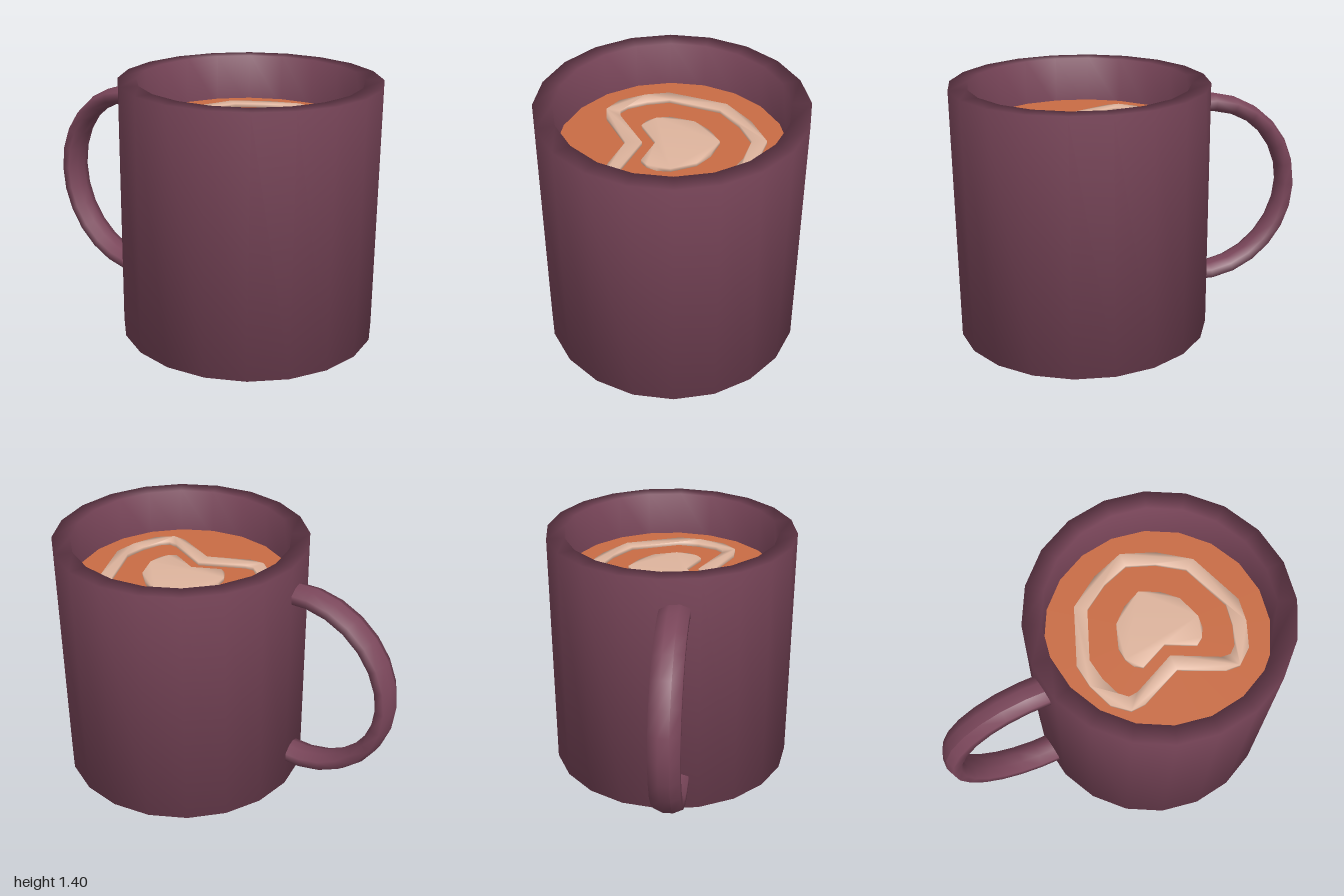
import * as THREE from 'three';
import { mergeVertices } from 'three/addons/utils/BufferGeometryUtils.js';

const CZ = 0.3; // the cup's axis sits forward to leave room for the handle
const V = (x, y) => new THREE.Vector2(x, y);

// Mirror half a heart, given from tip to notch as (x, z offset), into a closed outline
function heart(half) {
  const back = half.slice(1, -1).reverse().map(([x, z]) => [x, -z]);
  return [...half, ...back].map(([x, z]) => V(x, z));
}

// Thin slab lying on the drink, with soft shared normals
function slab(outline, hole) {
  const shape = new THREE.Shape(outline);
  if (hole) shape.holes.push(new THREE.Path(hole));
  let g = new THREE.ExtrudeGeometry(shape, { depth: 0.03, bevelEnabled: false });
  g.deleteAttribute('uv');
  g.deleteAttribute('normal');
  g = mergeVertices(g);
  g.computeVertexNormals();
  g.rotateX(-Math.PI / 2);
  g.translate(0, 1.14, CZ);
  return g;
}

export function createModel() {
  const group = new THREE.Group();
  const material = (name, color) => {
    const m = new THREE.MeshStandardMaterial({ color });
    m.name = name;
    return m;
  };
  const plum = material('plum glaze', 0x7a465a);
  const orange = material('orange drink', 0xc96c44);
  const cream = material('cream foam', 0xdfb59e);
  const add = (name, geometry, mat) => {
    const mesh = new THREE.Mesh(geometry, mat);
    mesh.name = name;
    group.add(mesh);
  };

  // Cup: base, outer wall, rim and inner wall in one profile
  const cup = new THREE.LatheGeometry(
    [V(0, 0), V(0.7, 0), V(0.7, 1.4), V(0.6, 1.4), V(0.6, 1.1)], 20);
  cup.translate(0, 0, CZ);
  add('cup', cup, plum);

  // Handle: chamfered band swept a little over half a turn, ends buried in the wall
  const R = 0.518, a = 0.047, b = 0.08;
  const section = [[a, -0.028], [a, 0.028], [0.024, b], [-0.024, b],
    [-a, 0.028], [-a, -0.028], [-0.024, -b], [0.024, -b], [a, -0.028]];
  const handle = new THREE.LatheGeometry(section.map(([r, y]) => V(R + r, y)),
    14, Math.PI / 2 - 0.14, Math.PI + 0.28);
  handle.rotateZ(-Math.PI / 2);
  handle.translate(-0.08, 0.7, -0.432);
  add('handle', handle, plum);

  // Drink surface
  const drink = new THREE.CylinderGeometry(0.6, 0.6, 0.04, 20);
  drink.translate(0, 1.13, CZ);
  add('drink', drink, orange);

  // Foam: heart outline around a solid heart
  const outer = heart([[0.488, 0], [0.42, 0.18], [0.3, 0.35], [-0.01, 0.468],
    [-0.14, 0.45], [-0.28, 0.395], [-0.35, 0.31], [-0.345, 0.23], [-0.24, 0]]);
  const inner = heart([[0.41, 0], [0.355, 0.15], [0.26, 0.29], [-0.01, 0.395],
    [-0.13, 0.375], [-0.235, 0.335], [-0.275, 0.29], [-0.27, 0.24], [-0.155, 0]]);
  add('foamHeartOutline', slab(outer, inner), cream);
  add('foamHeart', slab(heart([[0.245, 0], [0.195, 0.105], [0.12, 0.185], [-0.01, 0.23],
    [-0.08, 0.222], [-0.13, 0.195], [-0.158, 0.155], [-0.085, 0]])), cream);

  return group;
}
